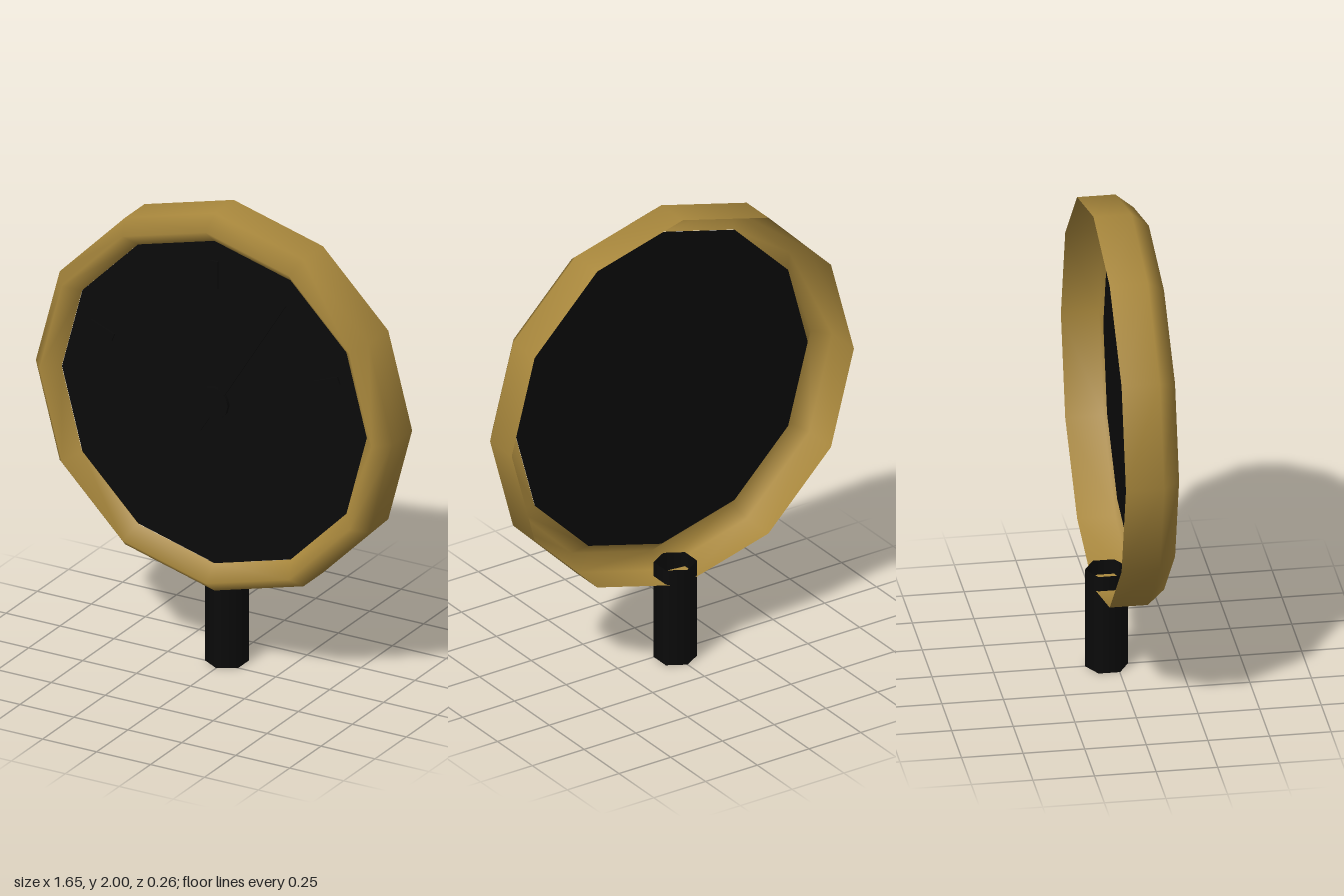
import * as THREE from 'three';

const CENTRE_Y = 1.173;
const SIDES = 12;

export function createModel() {
  const model = new THREE.Group();
  model.name = 'gaugeOnPost';

  const brass = new THREE.MeshStandardMaterial({ color: 0xa8873c, side: THREE.DoubleSide });
  const black = new THREE.MeshStandardMaterial({ color: 0x0a0a0a, side: THREE.DoubleSide });

  function add(parent, name, geometry, material, x = 0, y = 0, z = 0) {
    const mesh = new THREE.Mesh(geometry, material);
    mesh.name = name;
    mesh.position.set(x, y, z);
    parent.add(mesh);
    return mesh;
  }

  // Gauge head: everything centred on the dial axis, facing +z
  const head = new THREE.Group();
  head.name = 'gaugeHead';
  head.position.y = CENTRE_Y;
  model.add(head);

  // Rim: thin shell open at the back, radius and depth profile turned in twelve steps
  const profile = [
    [0.827, -0.095], [0.827, 0.06], [0.77, 0.13], [0.707, 0.06],
  ].map(([r, d]) => new THREE.Vector2(r, d));
  const rim = new THREE.LatheGeometry(profile, SIDES);
  rim.rotateX(Math.PI / 2);
  add(head, 'rim', rim, brass);

  // Flat dial closing the rim's inner edge
  add(head, 'dial', new THREE.CircleGeometry(0.707, SIDES), black, 0, 0, 0.058);

  // Three tick marks
  for (const degrees of [21, 90, 159]) {
    const a = THREE.MathUtils.degToRad(degrees);
    const tick = add(head, 'tickMark', new THREE.BoxGeometry(0.12, 0.035, 0.008), black,
      0.56 * Math.cos(a), 0.56 * Math.sin(a), 0.062);
    tick.rotation.z = a;
  }

  // Tapered needle with a short tail
  const needleShape = new THREE.Shape();
  needleShape.moveTo(-0.15, -0.025);
  needleShape.lineTo(0.6, -0.006);
  needleShape.lineTo(0.6, 0.006);
  needleShape.lineTo(-0.15, 0.025);
  needleShape.closePath();
  const needle = add(head, 'needle',
    new THREE.ExtrudeGeometry(needleShape, { depth: 0.008, bevelEnabled: false }),
    black, 0, 0, 0.06);
  needle.rotation.z = Math.atan2(0.5, 0.33);

  // Hub over the needle
  const hub = new THREE.CylinderGeometry(0.07, 0.07, 0.016, SIDES);
  hub.rotateX(Math.PI / 2);
  add(head, 'hub', hub, black, 0, 0, 0.066);

  // Hollow hexagonal post, open at both ends, rising behind the lower rim
  const post = new THREE.CylinderGeometry(0.0875, 0.0875, 0.43, 6, 1, true);
  add(model, 'post', post, black, 0, 0.215, -0.042);

  return model;
}
